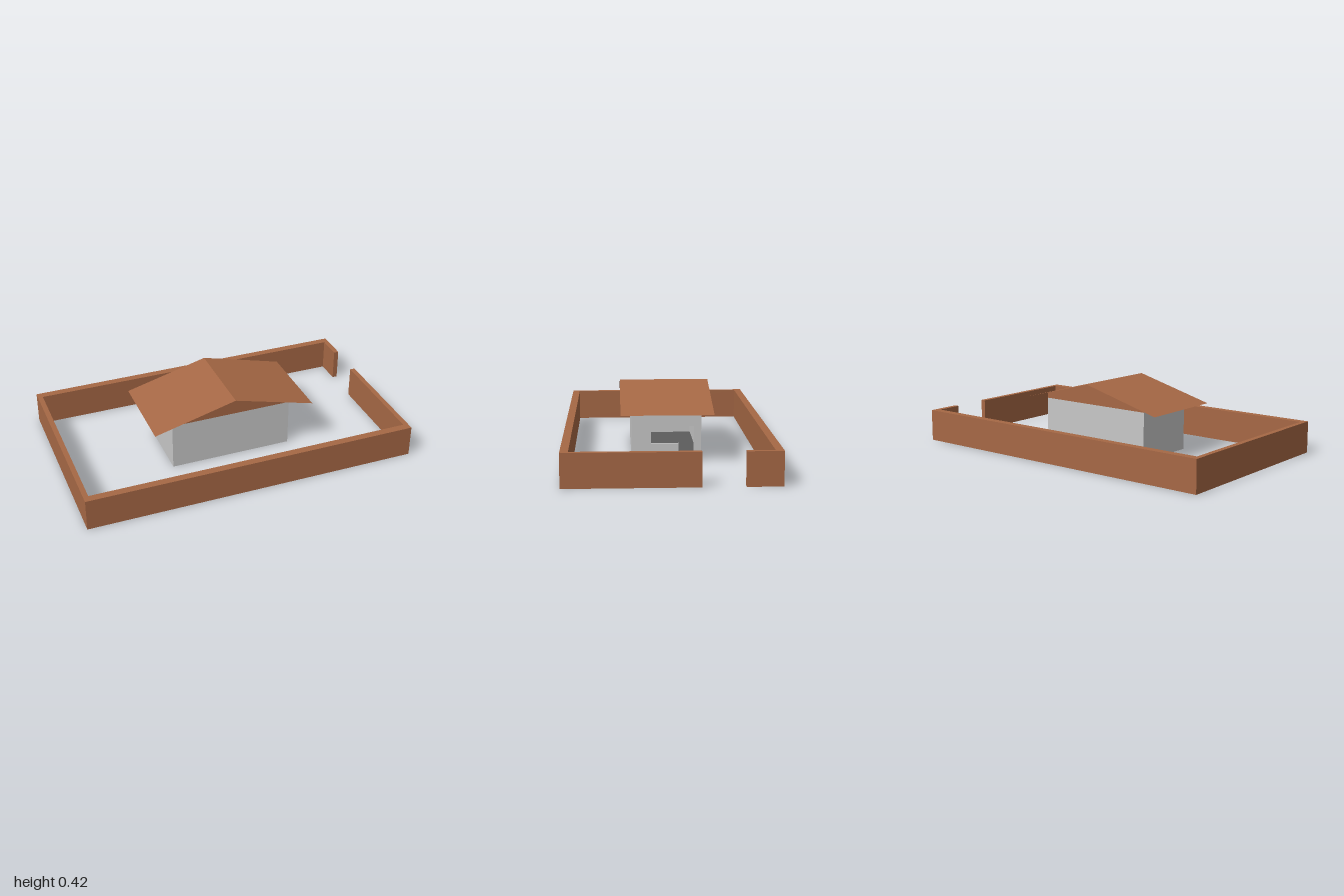
import * as THREE from 'three';

const BROWN = new THREE.MeshStandardMaterial({ color: 0xa66845 });
BROWN.name = 'brick brown';
const ROOF = new THREE.MeshStandardMaterial({ color: 0xa66845, side: THREE.DoubleSide });
ROOF.name = 'roof brown';
const GREY = new THREE.MeshStandardMaterial({ color: 0xc8c8c8 });
GREY.name = 'plaster grey';
const DARK = new THREE.MeshStandardMaterial({ color: 0x5c5c5c });
DARK.name = 'floor grey';

// Box from its minimum and maximum corners
function box(name, x0, x1, y0, y1, z0, z1, material) {
  const mesh = new THREE.Mesh(new THREE.BoxGeometry(x1 - x0, y1 - y0, z1 - z0), material);
  mesh.position.set((x0 + x1) / 2, (y0 + y1) / 2, (z0 + z1) / 2);
  mesh.name = name;
  return mesh;
}

// Flat outline pushed out along z
function slab(name, points, depth, material) {
  const shape = new THREE.Shape(points.map(([x, y]) => new THREE.Vector2(x, y)));
  const mesh = new THREE.Mesh(
    new THREE.ExtrudeGeometry(shape, { depth, bevelEnabled: false }), material);
  mesh.name = name;
  return mesh;
}

function createFence() {
  const fence = new THREE.Group();
  fence.name = 'boundaryWall';
  const H = 0.19, Z = 0.585, inner = 0.54;
  // brick on all faces but the grey underside
  const mats = [BROWN, BROWN, BROWN, GREY, BROWN, BROWN];
  fence.add(
    box('frontBoundaryWall', -1, 1, 0, H, inner, Z, mats),
    box('backBoundaryWall', -1, 1, 0, H, -Z, -inner, mats),
    box('rightBoundaryWall', -1, -0.97, 0, H, -inner, inner, mats),
    // gateway gap between these two
    box('leftBoundaryWallFront', 0.97, 1, 0, H, -0.155, inner, mats),
    box('leftBoundaryWallBack', 0.97, 1, 0, H, -inner, -0.388, mats));
  return fence;
}

function createHouse() {
  const house = new THREE.Group();
  house.name = 'house';
  const X = 0.37, Z = 0.2, T = 0.015;      // half sizes and wall thickness
  const top = 0.287, ridge = 0.418, eave = 0.495, overhang = 0.265;
  const roofY = x => ridge - (ridge - top) * x / eave;

  house.add(
    box('floor', -X + T, X - T, 0.001, 0.02, -Z + T, Z - T, DARK),
    box('rightWall', -X, -X + T, 0, top, -Z + T, Z - T, GREY));

  for (const s of [1, -1]) {
    const side = s > 0 ? 'front' : 'back';
    const z = s > 0 ? Z - T : -Z;
    house.add(box(side + 'Wall', -X, X, 0, top, z, z + T, GREY));

    // gable above the wall
    const gable = slab(side + 'Gable',
      [[-X, top], [X, top], [X, roofY(X) - 0.001], [0, ridge - 0.001], [-X, roofY(X) - 0.001]], T, BROWN);
    gable.position.z = z;
    house.add(gable);

    // brown band under each eave
    const x = s > 0 ? X - T : -X;
    house.add(box(s > 0 ? 'leftEaveBand' : 'rightEaveBand',
      x, x + T, top, roofY(X) - 0.001, -Z + T, Z - T, BROWN));
  }

  // entrance wall with a joined door and window opening (outline runs along -z)
  const e = Z - T;
  const entrance = slab('entranceWall', [
    [-e, 0], [0.07, 0], [0.07, 0.1], [-0.09, 0.1], [-0.09, 0.2],
    [0.157, 0.2], [0.157, 0], [e, 0], [e, top], [-e, top]], T, GREY);
  entrance.geometry.rotateY(Math.PI / 2);
  entrance.position.x = X - T;
  house.add(entrance);

  // two thin roof slopes
  const slope = Math.hypot(eave, ridge - top);
  for (const s of [1, -1]) {
    const geo = new THREE.PlaneGeometry(slope, overhang * 2).rotateX(-Math.PI / 2);
    const roof = new THREE.Mesh(geo, ROOF);
    roof.rotation.z = -s * Math.atan2(ridge - top, eave);
    roof.position.set(s * eave / 2, (ridge + top) / 2, 0);
    roof.name = s > 0 ? 'leftRoofSlope' : 'rightRoofSlope';
    house.add(roof);
  }
  return house;
}

export function createModel() {
  const model = new THREE.Group();
  model.name = 'walledHouse';
  model.add(createFence(), createHouse());
  return model;
}
